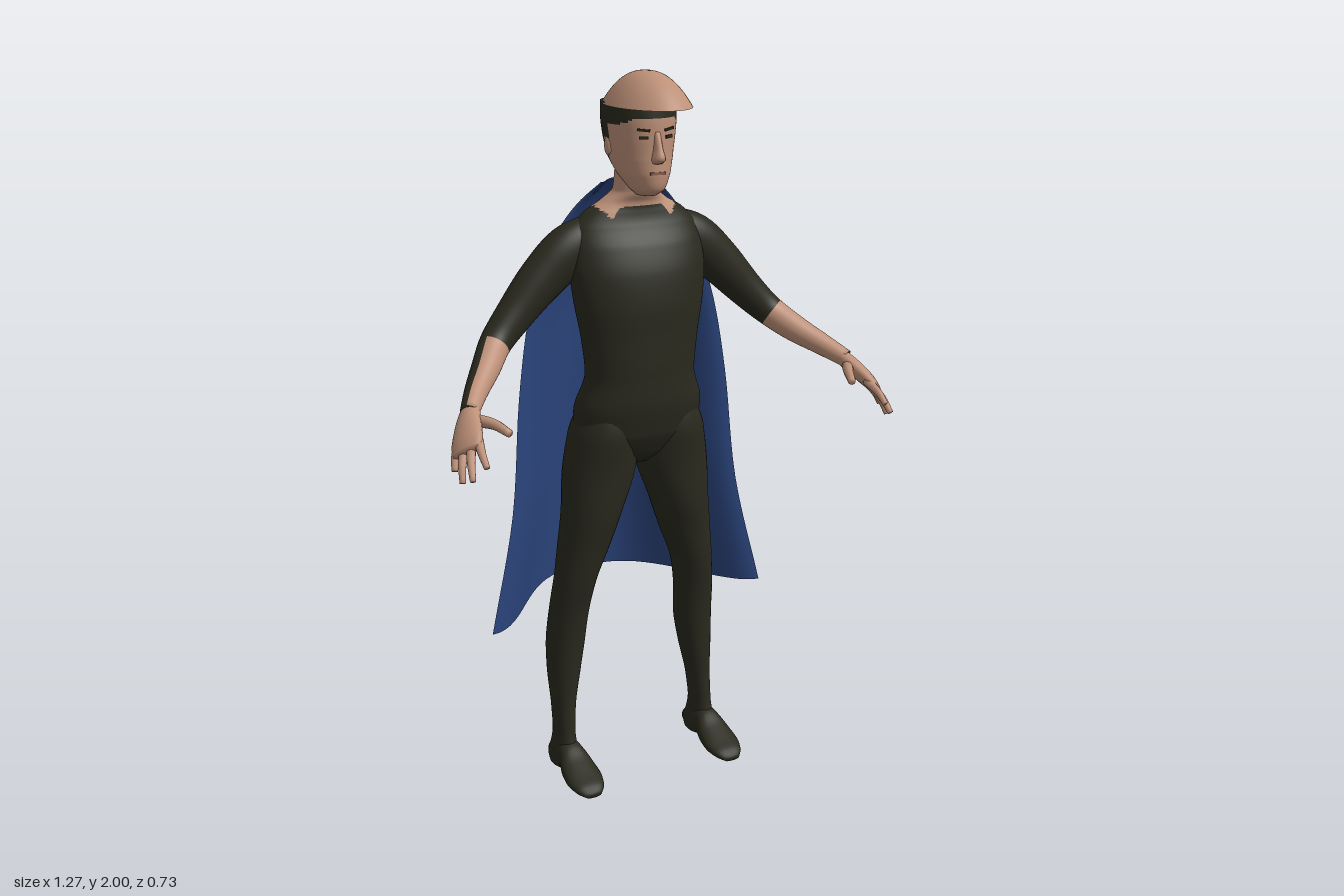
import * as THREE from 'three';

const V = (x, y, z) => new THREE.Vector3(x, y, z);
const mat = (name, color, side = THREE.FrontSide) => {
  const m = new THREE.MeshStandardMaterial({ color, side });
  m.name = name;
  return m;
};
const skin = mat('skin', 0xbd9078);
const dark = mat('dark cloth and hair', 0x29291e);
const blue = mat('cape blue', 0x2b457d, THREE.DoubleSide);
const lip = mat('lips', 0x8c5f50);

function mesh(name, geometry, material, parent) {
  const m = new THREE.Mesh(geometry, material);
  m.name = name;
  parent.add(m);
  return m;
}

// Closed smooth skin over elliptic sections [x, y, z, ra, rb]; ra lies along the hint.
// axis fixes the direction of all rings; otherwise they follow the path.
// pick(point, ringCentre) chooses the material index of each face.
function loft(sections, { axis, hint = V(1, 0, 0), n = 24, sub = 4, power = 2, pick = () => 0 } = {}) {
  const path = new THREE.CatmullRomCurve3(sections.map(s => V(s[0], s[1], s[2])));
  const radii = new THREE.CatmullRomCurve3(sections.map(s => V(s[3], s[4], 0)));
  const rows = (sections.length - 1) * sub, pos = [], centres = [], lists = [[], []];
  const bend = c => Math.sign(c) * Math.abs(c) ** (2 / power);
  for (let i = 0; i <= rows; i++) {
    const c = path.getPoint(i / rows), r = radii.getPoint(i / rows);
    const T = axis ? axis.clone() : path.getTangent(i / rows);
    const A = hint.clone().addScaledVector(T, -hint.dot(T)).normalize();
    const B = T.clone().cross(A);
    centres.push(c);
    for (let j = 0; j < n; j++) {
      const t = j / n * Math.PI * 2;
      const p = c.clone().addScaledVector(A, r.x * bend(Math.cos(t))).addScaledVector(B, r.y * bend(Math.sin(t)));
      pos.push(p.x, p.y, p.z);
    }
  }
  const at = k => V(pos[3 * k], pos[3 * k + 1], pos[3 * k + 2]);
  for (let i = 0; i < rows; i++) for (let j = 0; j < n; j++) {
    const a = i * n + j, b = i * n + (j + 1) % n, c = b + n, d = a + n;
    const mid = at(a).add(at(c)).multiplyScalar(0.5);
    lists[pick(mid, centres[i])].push(a, b, c, a, c, d);
  }
  // end caps
  const first = pos.length / 3, last = first + 1, e = rows * n;
  pos.push(...centres[0].toArray(), ...centres[rows].toArray());
  const m0 = pick(centres[0], centres[0]), m1 = pick(centres[rows], centres[rows]);
  for (let j = 0; j < n; j++) {
    const k = (j + 1) % n;
    lists[m0].push(first, k, j);
    lists[m1].push(last, e + j, e + k);
  }
  const g = new THREE.BufferGeometry();
  g.setAttribute('position', new THREE.Float32BufferAttribute(pos, 3));
  g.setIndex([...lists[0], ...lists[1]]);
  g.addGroup(0, lists[0].length, 0);
  g.addGroup(lists[0].length, lists[1].length, 1);
  g.computeVertexNormals();
  return g;
}

// Upright section from front and back depth: [y, centre x, half width, front z, back z]
const slice = ([y, x, w, f, b]) => [x, y, (f + b) / 2, w, (f - b) / 2];
const UP = V(0, 1, 0), DOWN = V(0, -1, 0);

function addBody(root) {
  const torso = [
    [0.935, 0, 0.05, 0.03, -0.06], [0.97, 0, 0.13, 0.066, -0.095], [1.03, 0, 0.184, 0.096, -0.112],
    [1.1, 0, 0.186, 0.11, -0.105], [1.2, 0, 0.158, 0.114, -0.08], [1.3, 0, 0.168, 0.113, -0.08],
    [1.4, 0, 0.186, 0.112, -0.09], [1.48, 0, 0.194, 0.1, -0.095], [1.55, 0, 0.19, 0.075, -0.095],
    [1.6, 0, 0.176, 0.047, -0.09], [1.635, 0, 0.14, 0.034, -0.085], [1.66, 0, 0.095, 0.032, -0.08],
    [1.69, 0, 0.06, 0.045, -0.07], [1.76, 0, 0.054, 0.045, -0.06]];
  // neckline dips to two points at the front
  const neckline = p => {
    const dip = Math.max(0, 1 - Math.abs(Math.abs(p.x) - 0.085) / 0.03);
    return p.y > (p.z > -0.04 ? 1.65 - 0.03 * dip : 1.662) ? 1 : 0;
  };
  mesh('torso and neck', loft(torso.map(slice), { axis: UP, n: 72, sub: 8, power: 2.15, pick: neckline }), [dark, skin], root);
}

function addHead(root) {
  const head = new THREE.Group();
  head.name = 'head';
  root.add(head);
  const skull = [
    [1.685, 0, 0.026, 0.09, 0.02], [1.7, 0, 0.043, 0.114, 0], [1.74, 0, 0.066, 0.124, -0.055],
    [1.78, 0, 0.08, 0.122, -0.09], [1.83, 0, 0.09, 0.12, -0.102], [1.88, 0, 0.096, 0.119, -0.106],
    [1.92, 0, 0.096, 0.114, -0.103]];
  // fringe drops towards the temples, then to the nape
  const hair = p => p.y > 1.885 - 0.5 * Math.max(0, Math.abs(p.x) - 0.055)
    || (p.z < 0.025 && p.y > 1.83) || (p.z < -0.01 && p.y > 1.757) ? 1 : 0;
  mesh('face and hair', loft(skull.map(slice), { axis: UP, n: 56, sub: 8, pick: hair }), [skin, dark], head);

  // flat-bottomed crown
  const crown = new THREE.Group();
  crown.name = 'crown';
  crown.position.set(0, 1.914, 0.056);
  crown.scale.set(0.103, 0.086, 0.164);
  head.add(crown);
  const dome = Array.from({ length: 15 }, (_, i) => {
    const r = Math.cos(i / 14 * Math.PI / 2);
    return new THREE.Vector2(i < 14 ? r : 0, 1 - r ** 2.3);
  });
  mesh('crown dome', new THREE.LatheGeometry(dome, 40), skin, crown);
  mesh('crown underside', new THREE.CircleGeometry(1, 40).rotateX(Math.PI / 2), skin, crown);

  mesh('nose', loft([[0, 1.772, 0.118, 0.014, 0.012], [0, 1.785, 0.124, 0.018, 0.025],
    [0, 1.81, 0.121, 0.012, 0.019], [0, 1.852, 0.112, 0.009, 0.01]], { axis: UP, n: 12 }), skin, head);
  mesh('mouth', new THREE.BoxGeometry(0.042, 0.007, 0.009), lip, head).position.set(0, 1.747, 0.12);
  for (const s of [1, -1]) {
    const eye = mesh('eye', new THREE.BoxGeometry(0.024, 0.008, 0.008), dark, head);
    eye.position.set(s * 0.035, 1.838, 0.111);
    eye.rotation.y = s * 0.45;
    const brow = mesh('eyebrow', new THREE.BoxGeometry(0.034, 0.006, 0.008), dark, head);
    brow.position.set(s * 0.036, 1.857, 0.111);
    brow.rotation.set(0, s * 0.45, s * 0.1);
    const ear = mesh('ear', new THREE.SphereGeometry(1, 14, 10), skin, head);
    ear.scale.set(0.009, 0.026, 0.015);
    ear.position.set(s * 0.086, 1.81, 0.005);
  }
}

function addLeg(root, s) {
  const leg = [
    [1.14, 0.1, 0.05, 0.07, -0.07], [1.03, 0.104, 0.094, 0.094, -0.108], [0.93, 0.111, 0.105, 0.084, -0.108],
    [0.8, 0.137, 0.086, 0.078, -0.1], [0.7, 0.16, 0.075, 0.06, -0.09], [0.6, 0.185, 0.061, 0.045, -0.085],
    [0.5, 0.2, 0.058, 0.025, -0.092], [0.4, 0.207, 0.056, 0.013, -0.11], [0.3, 0.215, 0.047, 0.01, -0.105],
    [0.2, 0.222, 0.034, 0.011, -0.086], [0.12, 0.225, 0.03, 0.02, -0.076], [0.07, 0.226, 0.034, 0.03, -0.085],
    [0.03, 0.226, 0.038, 0.02, -0.1], [0.005, 0.226, 0.034, 0.01, -0.095]];
  mesh('leg', loft(leg.map(r => slice([r[0], s * r[1], ...r.slice(2)])), { axis: DOWN, n: 32 }), [dark, dark], root);
  // foot sections: z, half width, height
  const foot = [[-0.085, 0.028, 0.05], [-0.03, 0.035, 0.085], [0.02, 0.038, 0.092], [0.07, 0.05, 0.066],
    [0.12, 0.053, 0.045], [0.16, 0.042, 0.03], [0.182, 0.024, 0.016]];
  mesh('foot', loft(foot.map(([z, w, h]) => [s * 0.225, h / 2 + 0.003, z, w, h / 2]),
    { axis: V(0, 0, 1), power: 2.4 }), [dark, dark], root);
}

function addArm(root, s) {
  const flip = rows => rows.map(([x, ...r]) => [s * x, ...r]);
  const arm = [
    [0.11, 1.565, -0.035, 0.05, 0.066], [0.185, 1.535, -0.032, 0.057, 0.07], [0.265, 1.468, -0.03, 0.054, 0.063],
    [0.35, 1.38, -0.02, 0.047, 0.051], [0.41, 1.32, 0.002, 0.042, 0.043], [0.46, 1.275, 0.06, 0.038, 0.038],
    [0.515, 1.235, 0.13, 0.03, 0.03], [0.555, 1.205, 0.19, 0.024, 0.024]];
  // the inner side of the forearm is bare
  const outer = V(s * 0.75, -0.2, -0.63);
  const bare = (p, c) => c.y < 1.32 && p.clone().sub(c).dot(outer) < 0 ? 1 : 0;
  mesh('arm', loft(flip(arm), { hint: V(0, 0, 1), n: 36, sub: 6, pick: bare }), [dark, skin], root);

  const hand = new THREE.Group();
  hand.name = 'hand';
  root.add(hand);
  mesh('palm', loft(flip([[0.543, 1.214, 0.172, 0.022, 0.021], [0.568, 1.183, 0.216, 0.038, 0.022],
    [0.588, 1.153, 0.26, 0.047, 0.019], [0.598, 1.136, 0.284, 0.042, 0.012]]),
    { hint: V(s * 0.47, -0.28, -0.84), n: 18 }), [skin, skin], hand);
  const digits = {
    thumb: [[0.552, 1.19, 0.205], [0.517, 1.19, 0.262], [0.496, 1.178, 0.312]],
    indexFinger: [[0.566, 1.162, 0.28], [0.574, 1.142, 0.325], [0.575, 1.118, 0.36]],
    middleFinger: [[0.58, 1.152, 0.268], [0.598, 1.118, 0.312], [0.606, 1.083, 0.344]],
    ringFinger: [[0.591, 1.146, 0.25], [0.612, 1.106, 0.286], [0.62, 1.068, 0.308]],
    littleFinger: [[0.6, 1.142, 0.232], [0.618, 1.113, 0.252], [0.625, 1.086, 0.266]],
  };
  for (const [name, pts] of Object.entries(digits)) {
    const r = name === 'thumb' ? 0.017 : 0.013;
    const rows = pts.map((p, i) => [...p, r * (1 - 0.2 * i), r * (1 - 0.2 * i)]);
    mesh(name, loft(flip(rows), { n: 10 }), [skin, skin], hand);
  }
}

// Open sheet with a bell-shaped cross-section
function addCape(root) {
  // y, half width, edge z, middle z
  const rows = [[1.705, 0.08, -0.055, -0.115], [1.65, 0.14, -0.075, -0.155], [1.57, 0.2, -0.086, -0.2],
    [1.47, 0.245, -0.09, -0.24], [1.34, 0.285, -0.085, -0.275], [1.13, 0.32, -0.075, -0.296],
    [0.8, 0.354, -0.06, -0.33], [0.462, 0.432, -0.04, -0.362]];
  const edge = new THREE.CatmullRomCurve3(rows.map(r => V(r[1], r[0], r[2])));
  const middle = new THREE.CatmullRomCurve3(rows.map(r => V(0, r[0], r[3])));
  const g = new THREE.PlaneGeometry(2, 1, 40, 42), p = g.attributes.position;
  for (let i = 0; i < p.count; i++) {
    const u = p.getX(i), t = THREE.MathUtils.clamp(0.5 - p.getY(i), 0, 1);
    const a = edge.getPoint(t), m = middle.getPoint(t);
    const bell = (1 + Math.cos(Math.PI * Math.abs(u) ** 1.38)) / 2;
    p.setXYZ(i, -u * a.x, a.y, a.z + (m.z - a.z) * bell);
  }
  g.computeVertexNormals();
  mesh('cape', g, blue, root);
}

export function createModel() {
  const root = new THREE.Group();
  root.name = 'caped figure';
  addBody(root);
  addHead(root);
  for (const s of [1, -1]) {
    const side = new THREE.Group();
    side.name = s > 0 ? 'left limbs' : 'right limbs';
    root.add(side);
    addLeg(side, s);
    addArm(side, s);
  }
  addCape(root);
  return root;
}
